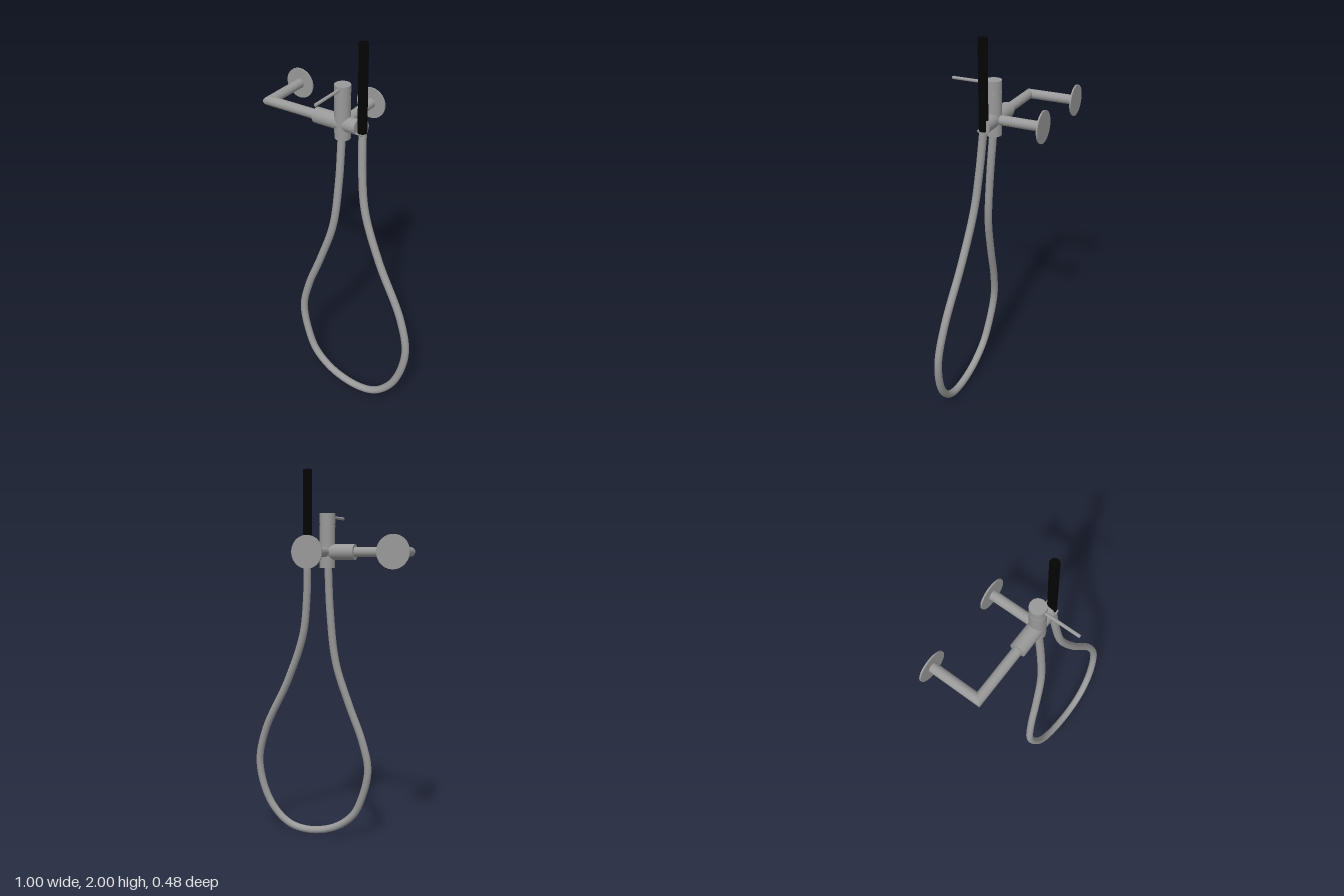
import * as THREE from 'three';

const grey = new THREE.MeshStandardMaterial({ color: 0x999999 });
const hoseGrey = new THREE.MeshStandardMaterial({ color: 0x999999, side: THREE.DoubleSide });
const black = new THREE.MeshStandardMaterial({ color: 0x040404 });

const AXIS_Y = 1.58; // height of the horizontal body
const AXIS_Z = 0.02; // depth of the valve and body
const VALVE_X = 0.017;
const ELBOW_X = -0.419;

export function createModel() {
  const model = new THREE.Group();
  model.name = 'wallMixerWithHose';

  const add = (name, geometry, material = grey) => {
    const mesh = new THREE.Mesh(geometry, material);
    mesh.name = name;
    model.add(mesh);
    return mesh;
  };

  // Cylinder running between two points
  const up = new THREE.Vector3(0, 1, 0);
  const rod = (name, from, to, r, material = grey, sides = 32) => {
    const a = new THREE.Vector3(...from);
    const b = new THREE.Vector3(...to);
    const dir = b.clone().sub(a);
    const g = new THREE.CylinderGeometry(r, r, dir.length(), sides);
    g.applyQuaternion(new THREE.Quaternion().setFromUnitVectors(up, dir.normalize()));
    const mid = a.add(b).multiplyScalar(0.5);
    g.translate(mid.x, mid.y, mid.z);
    return add(name, g, material);
  };

  // Valve body, neck and turning cap
  rod('valveBody', [VALVE_X, 1.5, AXIS_Z], [VALVE_X, 1.717, AXIS_Z], 0.04);
  rod('valveNeck', [VALVE_X, 1.71, AXIS_Z], [VALVE_X, 1.73, AXIS_Z], 0.038);
  rod('valveCap', [VALVE_X, 1.723, AXIS_Z], [VALVE_X, 1.776, AXIS_Z], 0.04);
  rod('lever', [VALVE_X, 1.758, AXIS_Z], [VALVE_X, 1.758, 0.24], 0.008, grey, 16);

  // Horizontal body
  rod('bodySleeve', [-0.135, AXIS_Y, AXIS_Z], [VALVE_X, AXIS_Y, AXIS_Z], 0.04);
  rod('holderArm', [VALVE_X, AXIS_Y, AXIS_Z], [0.104, AXIS_Y, AXIS_Z], 0.038);

  // Holder end: the arm carries on behind and below the handle, open at the upper front
  const cradle = new THREE.Shape();
  cradle.absarc(0, 0, 0.038, Math.PI + 0.66, 2 * Math.PI + 1.45, false);
  cradle.lineTo(0.0045, -0.0233);
  cradle.closePath();
  const holder = new THREE.ExtrudeGeometry(cradle, { depth: 0.038, bevelEnabled: false, curveSegments: 24 });
  holder.rotateY(Math.PI / 2);
  holder.translate(0.102, AXIS_Y, AXIS_Z);
  add('handleHolder', holder);

  // Side pipe and its wall pipe, cut at 45 degrees where they meet
  const shiftCut = (mesh, along, across, cut, centre) => {
    const p = mesh.geometry.attributes.position;
    for (let i = 0; i < p.count; i++) {
      const v = new THREE.Vector3().fromBufferAttribute(p, i);
      if (Math.abs(v[along] - cut) < 1e-4) {
        v[along] -= v[across] - centre;
        p.setXYZ(i, v.x, v.y, v.z);
      }
    }
  };
  const side = rod('sidePipe', [-0.13, AXIS_Y, AXIS_Z], [ELBOW_X, AXIS_Y, AXIS_Z], 0.025);
  shiftCut(side, 'x', 'z', ELBOW_X, AXIS_Z);
  const wall = rod('sideWallPipe', [ELBOW_X, AXIS_Y, -0.24], [ELBOW_X, AXIS_Y, AXIS_Z], 0.025);
  shiftCut(wall, 'z', 'x', AXIS_Z, ELBOW_X);
  rod('valveWallPipe', [VALVE_X, AXIS_Y, -0.24], [VALVE_X, AXIS_Y, AXIS_Z], 0.025);

  // Wall plates
  for (const x of [ELBOW_X, VALVE_X]) {
    rod('wallPlate', [x, AXIS_Y, -0.243], [x, AXIS_Y, -0.235], 0.081, grey, 48);
  }

  // Hand shower handle
  rod('handle', [0.128, 1.558, AXIS_Z], [0.128, 2, AXIS_Z], 0.023, black);

  // Hose loop, hanging in a plane that leans forward
  const loop = [
    [0.015, 1.52], [0.012, 1.265], [-0.011, 1.0], [-0.08, 0.772], [-0.148, 0.58],
    [-0.177, 0.42], [-0.138, 0.254], [-0.08, 0.143], [0.036, 0.058], [0.195, 0.024],
    [0.317, 0.053], [0.423, 0.17], [0.477, 0.39], [0.429, 0.593], [0.275, 0.889],
    [0.174, 1.143], [0.143, 1.344], [0.129, 1.57],
  ].map(([x, y]) => new THREE.Vector3(x, y, 0.02 + (1.56 - y) * 0.085));
  const path = new THREE.CatmullRomCurve3(loop, false, 'centripetal');
  add('hose', new THREE.TubeGeometry(path, 160, 0.02, 20, false), hoseGrey);

  return model;
}
